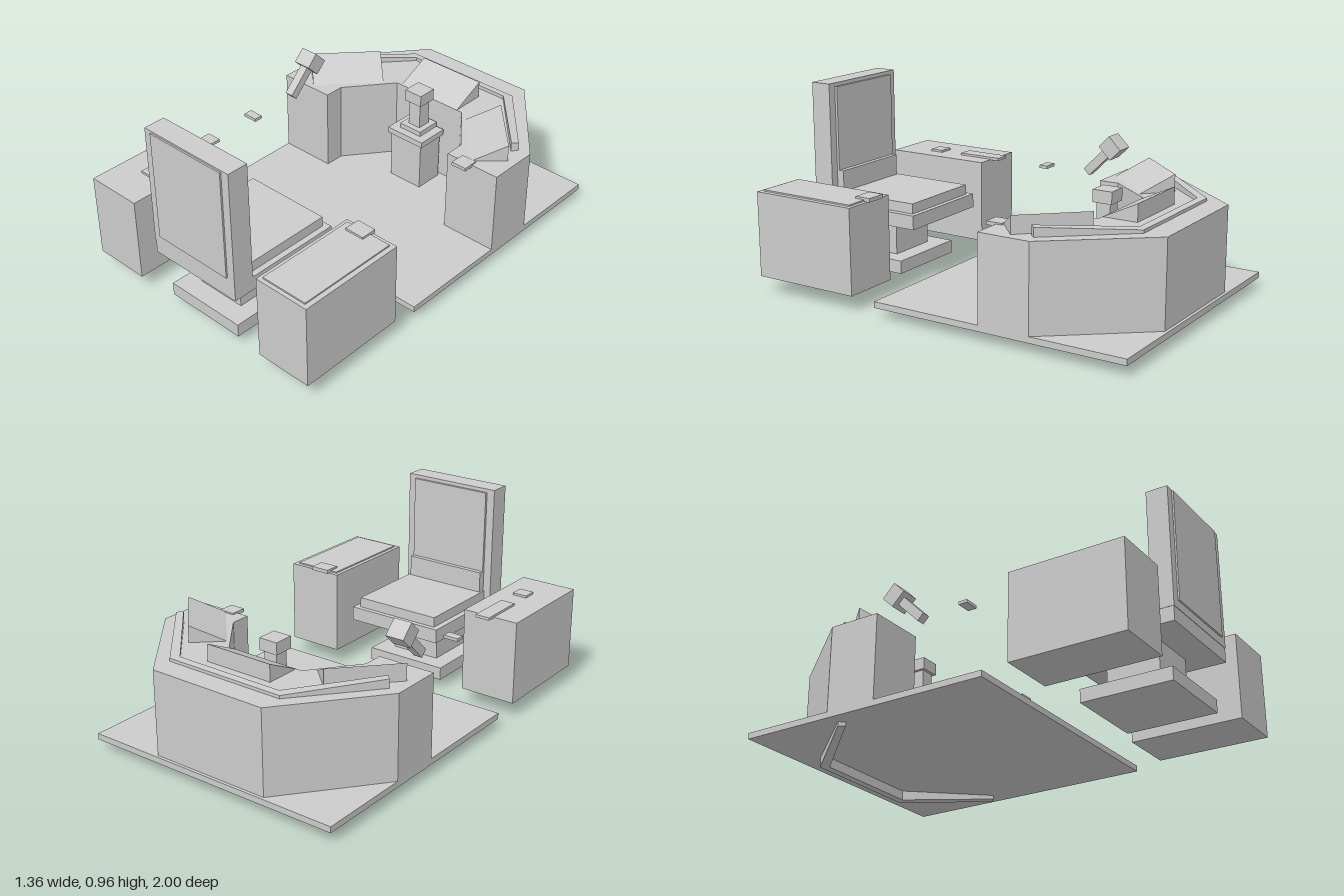
import * as THREE from 'three';

const material = new THREE.MeshStandardMaterial({ color: 0xcccccc, flatShading: true });

function add(parent, name, geometry) {
  const mesh = new THREE.Mesh(geometry, material);
  mesh.name = name;
  parent.add(mesh);
  return mesh;
}

// Box given by its limits on each axis
function box(parent, name, [x0, x1], [y0, y1], [z0, z1]) {
  const mesh = add(parent, name, new THREE.BoxGeometry(x1 - x0, y1 - y0, z1 - z0));
  mesh.position.set((x0 + x1) / 2, (y0 + y1) / 2, (z0 + z1) / 2);
  return mesh;
}

// Vertical prism from half a plan outline [x, z], mirrored across x = 0
function mirroredPrism(half, y0, y1) {
  const outline = [...half, ...half.map(([x, z]) => [-x, z]).reverse()];
  const shape = new THREE.Shape(outline.map(([x, z]) => new THREE.Vector2(x, -z)));
  return new THREE.ExtrudeGeometry(shape, { depth: y1 - y0, bevelEnabled: false })
    .rotateX(-Math.PI / 2).translate(0, y0, 0);
}

// Wedge with its sloped screen facing +z and its upright back at -z
function wedge(width, height, depth) {
  const s = new THREE.Shape([
    new THREE.Vector2(-depth / 2, 0),
    new THREE.Vector2(depth / 2, 0),
    new THREE.Vector2(-depth / 2, height),
  ]);
  return new THREE.ExtrudeGeometry(s, { depth: width, bevelEnabled: false })
    .translate(0, 0, -width / 2).rotateY(-Math.PI / 2);
}

function buildConsole(root) {
  const group = new THREE.Group();
  group.name = 'console';
  root.add(group);

  // Wraparound desk
  add(group, 'desk', mirroredPrism([
    [0.21, -0.6], [0.39, -0.37], [0.39, -0.27], [0.68, -0.27], [0.68, -0.53], [0.31, -0.985],
  ], 0.08, 0.5));

  // Tall rail through the desk, sloping down toward the back
  const rail = mirroredPrism([
    [0.285, -0.84], [0.595, -0.49], [0.62, -0.515], [0.315, -0.875],
  ], 0, 0.515);
  const p = rail.attributes.position;
  for (let i = 0; i < p.count; i++) {
    p.setY(i, p.getY(i) + (p.getZ(i) + 0.875) * 0.08);
  }
  rail.computeVertexNormals();
  add(group, 'rail', rail);

  // Three wedge monitors
  for (const [x, z, turn] of [[-0.45, -0.483, 1], [0, -0.6875, 0], [0.45, -0.483, -1]]) {
    const screen = add(group, 'monitor', wedge(0.36, 0.085, 0.175));
    // wedge slope is authored along x, so it is turned to face +z
    screen.position.set(x, 0.5, z);
    screen.rotation.y = turn * 0.82;
  }

  // Small plate on the left edge
  box(group, 'edgePlate', [0.455, 0.535], [0.49, 0.507], [-0.3, -0.22]);
}

function buildPedestal(root) {
  const group = new THREE.Group();
  group.name = 'controlPedestal';
  root.add(group);
  const z = -0.525;
  box(group, 'pedestalColumn', [-0.095, 0.095], [0.08, 0.33], [-0.58, -0.43]);
  box(group, 'pedestalTop', [-0.11, 0.11], [0.33, 0.36], [-0.59, -0.42]);
  for (const [name, r, y0, y1] of [
    ['stickBase', 0.065, 0.36, 0.385], ['stickNeck', 0.035, 0.385, 0.52], ['stickHead', 0.05, 0.52, 0.58],
  ]) box(group, name, [-r, r], [y0, y1], [z - r, z + r]);
}

function buildLever(root) {
  const lever = new THREE.Group();
  lever.name = 'lever';
  lever.position.set(-0.515, 0.505, -0.135);
  lever.rotation.x = -Math.PI / 4;
  root.add(lever);
  box(lever, 'leverShaft', [-0.022, 0.022], [0, 0.17], [-0.022, 0.022]);
  box(lever, 'leverHead', [-0.047, 0.047], [0.16, 0.24], [-0.045, 0.045]);
  // Loose plate behind the lever
  box(root, 'leverPlate', [-0.565, -0.49], [0.49, 0.505], [0.095, 0.14]);
}

function buildChair(root) {
  const chair = new THREE.Group();
  chair.name = 'chair';
  root.add(chair);
  box(chair, 'chairBase', [-0.215, 0.215], [0.05, 0.115], [0.5, 0.95]);
  box(chair, 'chairColumn', [-0.13, 0.13], [0.115, 0.3], [0.59, 0.85]);
  box(chair, 'seatFrame', [-0.255, 0.255], [0.3, 0.37], [0.39, 0.99]);
  box(chair, 'seatCushion', [-0.225, 0.225], [0.37, 0.42], [0.415, 0.88]);
  box(chair, 'backrest', [-0.257, 0.257], [0.37, 0.963], [0.885, 0.992]);
  box(chair, 'backPad', [-0.215, 0.215], [0.42, 0.945], [0.872, 0.885]);
  box(chair, 'lumbarPad', [-0.215, 0.215], [0.42, 0.525], [0.847, 0.872]);
  box(chair, 'rearPanel', [-0.215, 0.215], [0.41, 0.955], [0.992, 1]);
}

function buildCabinets(root) {
  for (const side of [-1, 1]) {
    const cabinet = box(root, 'sideCabinet', [-0.145, 0.145], [0.08, 0.5], [0.43, 0.99]);
    cabinet.position.x = side * 0.535;
  }
  // Right cabinet controls
  box(root, 'slidePlate', [-0.555, -0.48], [0.497, 0.511], [0.385, 0.62]);
  box(root, 'buttonPlate', [-0.55, -0.475], [0.5, 0.511], [0.74, 0.81]);
  // Left cabinet panel and switch
  box(root, 'cabinetPanel', [0.41, 0.655], [0.5, 0.507], [0.45, 0.97]);
  box(root, 'panelSwitch', [0.445, 0.545], [0.498, 0.517], [0.42, 0.5]);
}

export function createModel() {
  const root = new THREE.Group();
  root.name = 'controlStation';
  box(root, 'floor', [-0.68, 0.68], [0.05, 0.08], [-1, 0.3]);
  buildConsole(root);
  buildPedestal(root);
  buildLever(root);
  buildChair(root);
  buildCabinets(root);
  return root;
}
